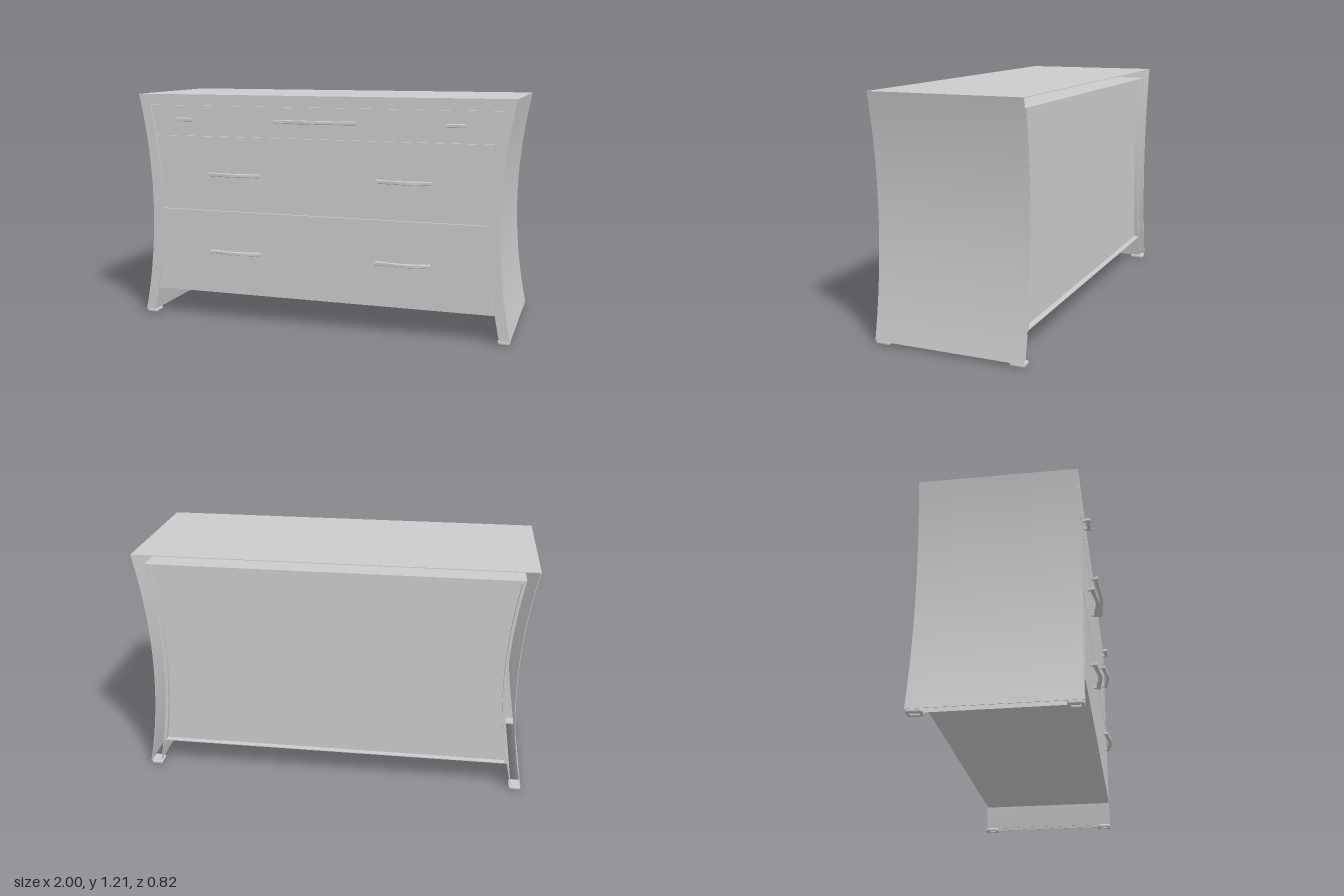
import * as THREE from 'three';
import { toCreasedNormals } from 'three/addons/utils/BufferGeometryUtils.js';

const MAT = new THREE.MeshStandardMaterial({ color: 0xcccccc, side: THREE.DoubleSide });
const FRONT = 0.358, BACK = -0.413, TOP = 1.205, STEPS = 24;

// Half width of the waisted side profile at height y
const halfWidth = (y, inset) => 0.935 + 0.065 * ((y - 0.61) / 0.595) ** 2 - inset;

// Points up the right side, from y0 to y1
function sidePoints(inset, y0, y1) {
  return Array.from({ length: STEPS + 1 }, (_, i) => {
    const y = y0 + (y1 - y0) * i / STEPS;
    return new THREE.Vector2(halfWidth(y, inset), y);
  });
}
const mirror = pts => pts.map(p => new THREE.Vector2(-p.x, p.y)).reverse();

// Upside-down U between two insets of the profile
function archShape(a, b, y0) {
  const outer = sidePoints(a, y0, TOP - a), inner = sidePoints(b, y0, TOP - b);
  const ring = [...outer, ...mirror(outer)];
  return new THREE.Shape([...ring, ...[...inner, ...mirror(inner)].reverse()]);
}
function slabShape(inset, y0, y1) {
  const side = sidePoints(inset, y0, y1);
  return new THREE.Shape([...side, ...mirror(side)]);
}

// Extrusion from z0 to z1, with edges rounded by bevel
function extrude(parent, name, shape, z0, z1, bevel = 0) {
  const geo = new THREE.ExtrudeGeometry(shape, {
    depth: z1 - z0 - 2 * bevel, bevelEnabled: bevel > 0, bevelSize: bevel,
    bevelThickness: bevel, bevelOffset: -bevel, bevelSegments: 3,
  });
  geo.translate(0, 0, z0 + bevel);
  const mesh = new THREE.Mesh(toCreasedNormals(geo, 0.6), MAT);
  mesh.name = name;
  parent.add(mesh);
  return mesh;
}
function box(parent, name, w, h, d, x, y, z) {
  const mesh = new THREE.Mesh(new THREE.BoxGeometry(w, h, d), MAT);
  mesh.name = name;
  mesh.position.set(x, y, z);
  parent.add(mesh);
}

// Drawer front from x0 to x1; an edge given as null follows the curved side
function drawerFront(parent, name, x0, x1, y0, y1) {
  const edge = sidePoints(0.06, y0, y1);
  const straight = x => [new THREE.Vector2(x, y0), new THREE.Vector2(x, y1)];
  const right = x1 === null ? edge : straight(x1);
  const left = x0 === null ? mirror(edge) : straight(x0).reverse();
  extrude(parent, name, new THREE.Shape([...right, ...left]), 0.345, 0.36);
}

// Bowed pull with two posts
function handle(parent, x, y, half, bow) {
  const group = new THREE.Group();
  group.name = 'handle';
  const front = [], back = [];
  for (let i = 0; i <= 16; i++) {
    const t = i / 8 - 1;
    const z = 0.385 + bow * (0.5 + 0.5 * Math.cos(Math.PI * t));
    const thick = 0.01 + 0.002 * Math.abs(t) ** 3;
    front.push(new THREE.Vector2(t * half, -z - thick));
    back.unshift(new THREE.Vector2(t * half, -z + thick));
  }
  const bar = extrude(group, 'handleBar', new THREE.Shape([...front, ...back]), -0.009, 0.009, 0.004);
  bar.rotation.x = -Math.PI / 2;
  for (const s of [-1, 1]) {
    box(group, 'handlePost', 0.011, 0.012, 0.026, s * (half - 0.012), 0, 0.366);
  }
  group.position.set(x, y, 0);
  parent.add(group);
}

// Hollow rounded foot pad
function foot(parent, x, z) {
  const rect = (Path, w, d, c) => new Path([
    [w - c, -d], [w, c - d], [w, d - c], [w - c, d], [c - w, d], [-w, d - c], [-w, c - d], [c - w, -d],
  ].map(p => new THREE.Vector2(...p)));
  const shape = rect(THREE.Shape, 0.03, 0.038, 0.008);
  shape.holes.push(rect(THREE.Path, 0.016, 0.022, 0.002));
  const pad = extrude(parent, 'foot', shape, 0, 0.018, 0.005);
  pad.rotation.x = -Math.PI / 2;
  pad.position.set(x, 0, z);
  box(parent, 'footPlate', 0.042, 0.004, 0.054, x, 0.014, z);
}

export function createModel() {
  const model = new THREE.Group();
  model.name = 'dresser';

  // Thin outer shell with a wide front trim, hollow towards the back
  extrude(model, 'outerShell', archShape(0, 0.003, 0.016), BACK, FRONT - 0.002);
  extrude(model, 'frontTrim', archShape(0, 0.054, 0.016), 0.34, FRONT);
  extrude(model, 'innerShell', archShape(0.051, 0.054, 0.016), -0.398, 0.341);

  // Carcass closed by a back panel set inside a narrow rim
  extrude(model, 'carcass', slabShape(0.0535, 0.145, TOP - 0.0535), -0.368, 0.347);
  extrude(model, 'backRim', archShape(0.0535, 0.066, 0.145), -0.397, -0.367);
  extrude(model, 'carcassFloor', slabShape(0.0535, 0.145, 0.149), -0.397, -0.367);

  // Drawer fronts
  const g = 0.003;
  drawerFront(model, 'topDrawerRight', null, -0.522 - g, 0.994, 1.147);
  drawerFront(model, 'topDrawerMiddle', -0.522 + g, 0.522 - g, 0.994, 1.147);
  drawerFront(model, 'topDrawerLeft', 0.522 + g, null, 0.994, 1.147);
  for (const [y0, y1] of [[0.598, 0.987], [0.145, 0.591]]) {
    drawerFront(model, 'drawerRight', null, -g, y0, y1);
    drawerFront(model, 'drawerLeft', g, null, y0, y1);
  }

  // Handles
  handle(model, 0, 1.075, 0.217, 0.016);
  for (const x of [-0.725, 0.715]) handle(model, x, 1.075, 0.046, 0);
  for (const x of [-0.447, 0.46]) {
    for (const y of [0.79, 0.375]) handle(model, x, y, 0.142, 0.016);
  }

  // Feet
  for (const s of [-1, 1]) for (const z of [0.322, -0.375]) foot(model, s * 0.968, z);

  return model;
}
